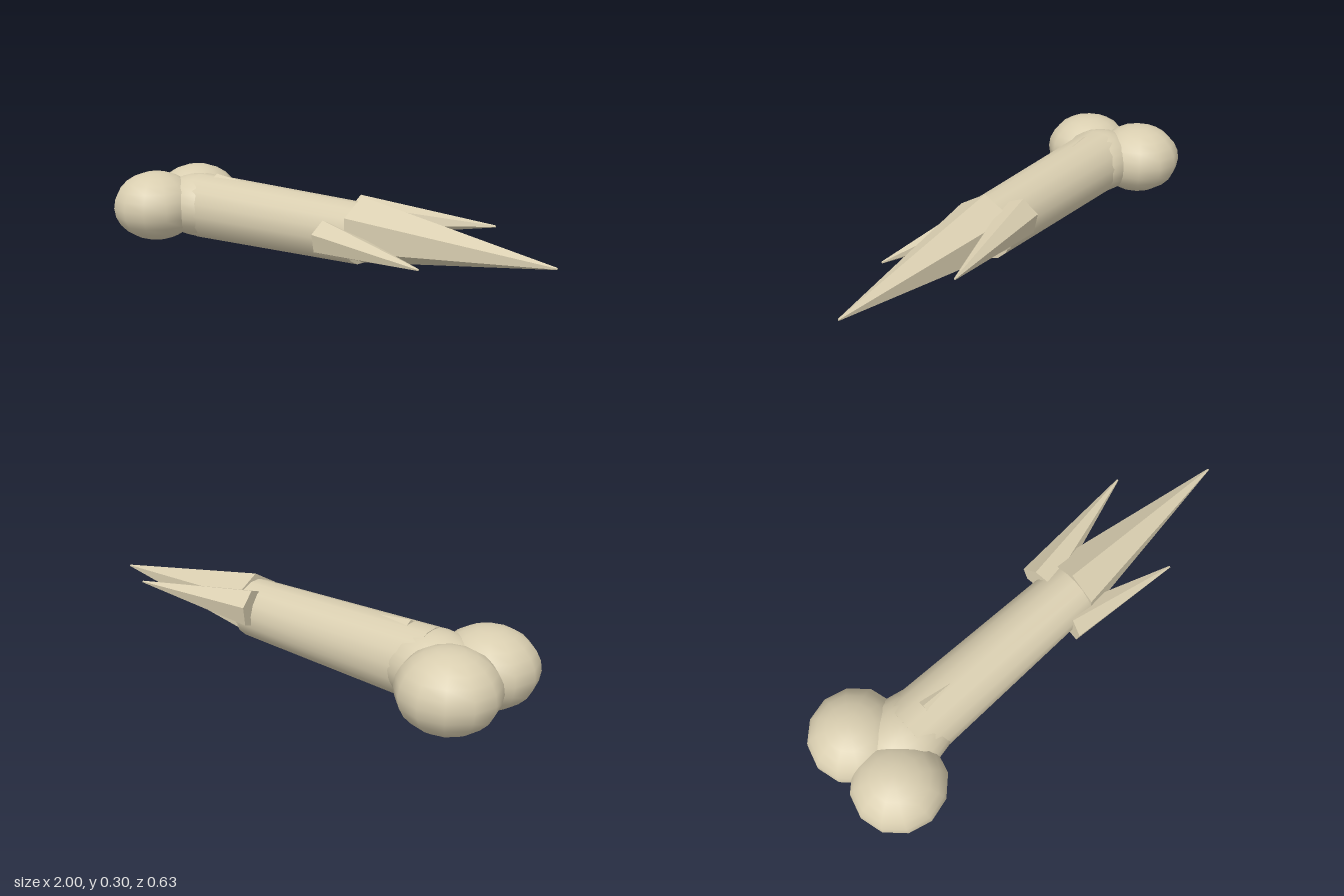
import * as THREE from 'three';

export function createModel() {
  const group = new THREE.Group();
  const bone = new THREE.MeshStandardMaterial({ color: 0xd9ceb0 });
  bone.name = 'bone';
  const up = new THREE.Vector3(0, 1, 0);

  const add = (name, geo) => {
    const mesh = new THREE.Mesh(geo, bone);
    mesh.name = name;
    group.add(mesh);
    return mesh;
  };

  // Tapered bar between two points; few-sided ones get faceted normals
  const taper = (name, from, to, r0, r1, sides, faceted) => {
    const a = new THREE.Vector3(...from);
    const b = new THREE.Vector3(...to);
    const axis = b.clone().sub(a);
    let geo = new THREE.CylinderGeometry(r1, r0, axis.length(), sides);
    geo.rotateY(Math.PI / 6);
    if (faceted) {
      geo = geo.toNonIndexed();
      geo.computeVertexNormals();
    }
    const mesh = add(name, geo);
    mesh.quaternion.setFromUnitVectors(up, axis.normalize());
    mesh.position.copy(a).add(b).multiplyScalar(0.5);
  };

  const knob = (name, center, radii) => {
    const geo = new THREE.SphereGeometry(1, 12, 12);
    geo.scale(...radii);
    add(name, geo).position.set(...center);
  };

  // Twin rounded joint and the neck behind it
  for (const side of [1, -1]) {
    knob(side > 0 ? 'frontKnuckle' : 'backKnuckle', [-0.814, 0.15, side * 0.127], [0.186, 0.15, 0.186]);
  }
  knob('neck', [-0.67, 0.15, 0], [0.2, 0.137, 0.16]);

  // Shaft
  taper('shaft', [-0.66, 0.15, 0], [0.2, 0.15, 0], 0.141, 0.12, 16, false);

  // Splinter ridges that just break the surface of the shaft
  taper('topRidge', [-0.57, 0.18, 0], [0.2, 0.15, 0], 0.119, 0.06, 6, true);
  taper('lowerRidge', [-0.66, 0.14, 0], [0.2, 0.15, 0], 0.133, 0.08, 6, true);

  // Broken splinters at the pointed end
  taper('mainSplinter', [0.195, 0.165, 0], [1, 0.15, 0], 0.131, 0.004, 6, true);
  taper('frontSplinter', [0.095, 0.137, 0.1], [0.575, 0.115, 0.193], 0.073, 0.004, 6, true);
  taper('backSplinter', [0.115, 0.195, -0.1], [0.66, 0.207, -0.207], 0.08, 0.004, 6, true);

  return group;
}
